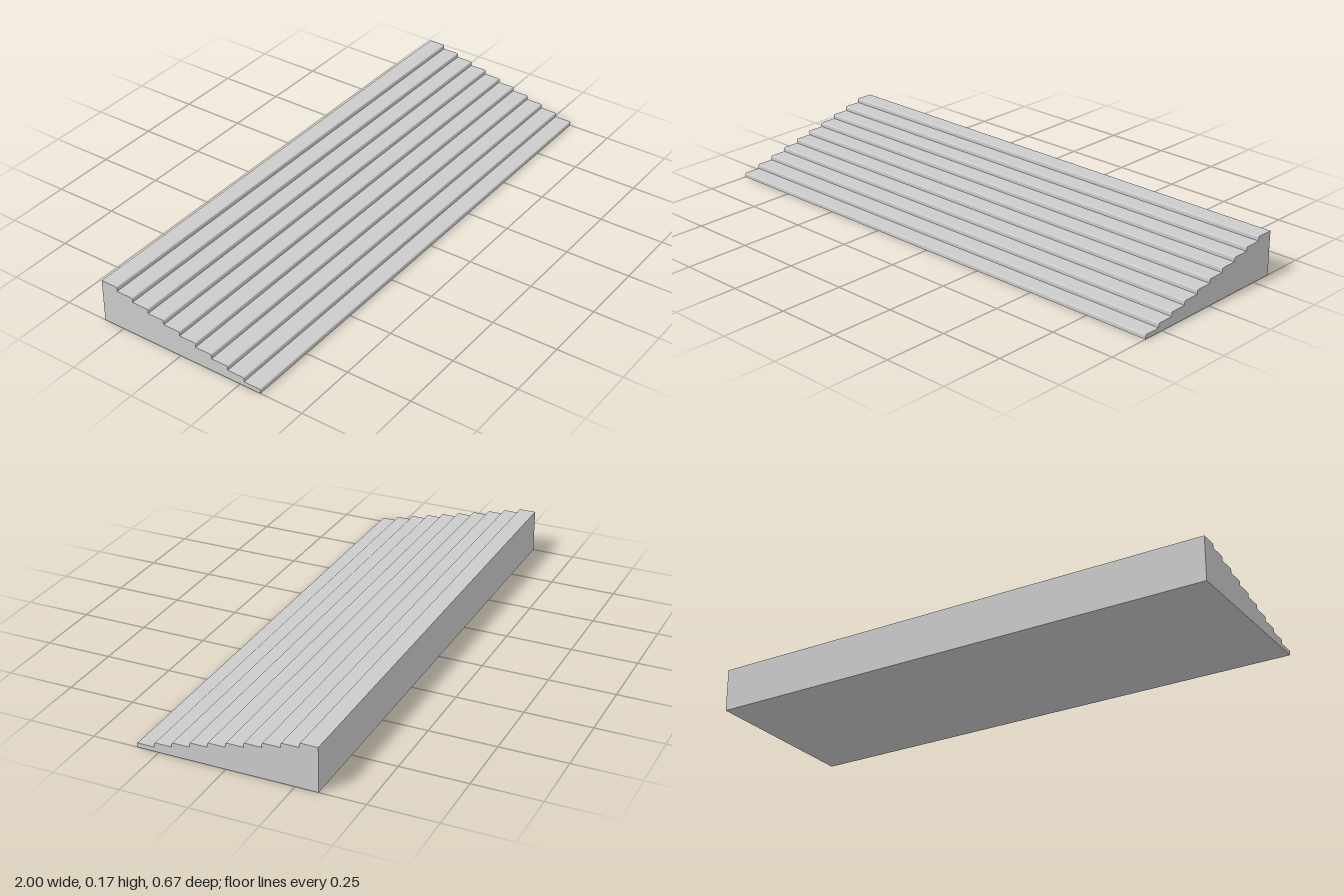
import * as THREE from 'three';

const STEPS = 10;
const WIDTH = 2;
const TREAD = 2 / 30;
const RISE = 1 / 60;
const NOSE = 0.006; // radius of the eased step edge

export function createModel() {
  const group = new THREE.Group();
  group.name = 'wideStaircase';

  // Side profile: front foot at -half, tall back at +half
  const half = (STEPS * TREAD) / 2;
  const profile = new THREE.Shape();
  profile.moveTo(half, 0);
  profile.lineTo(half, STEPS * RISE);
  for (let i = STEPS - 1; i >= 0; i--) {
    const u = -half + i * TREAD;
    const top = (i + 1) * RISE;
    profile.lineTo(u + NOSE, top);
    profile.quadraticCurveTo(u, top, u, top - NOSE); // eased nosing
    profile.lineTo(u, i * RISE); // riser
  }
  profile.closePath();

  // Sweep the profile across the full width, front towards +z
  const geometry = new THREE.ExtrudeGeometry(profile, {
    depth: WIDTH, bevelEnabled: false, curveSegments: 3,
  });
  geometry.translate(0, 0, -WIDTH / 2);
  geometry.rotateY(Math.PI / 2);

  const steps = new THREE.Mesh(geometry, new THREE.MeshStandardMaterial({ color: 0xcccccc }));
  steps.name = 'steps';
  group.add(steps);
  return group;
}
